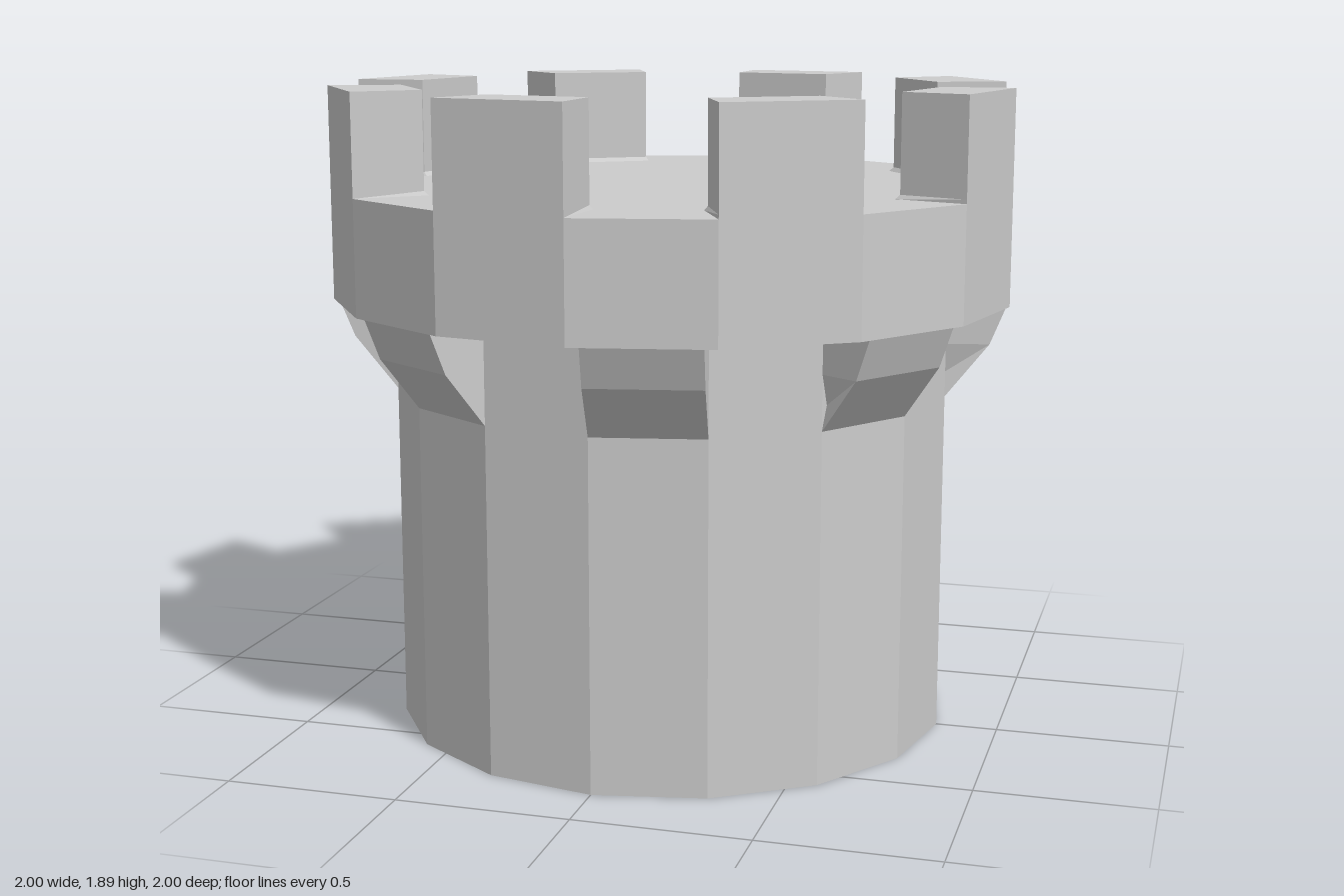
import * as THREE from 'three';

const SIDES = 16;
const STEP = (Math.PI * 2) / SIDES;

// Block lofted through rectangular sections, bottom to top:
// [y, outer distance, outer half width, inner distance, inner half width], facing +z
function loft(sections) {
  const pos = [];
  const loops = sections.map(([y, ro, ho, ri, hi]) => [[ho, y, ro], [hi, y, ri], [-hi, y, ri], [-ho, y, ro]]);
  const quad = (a, b, c, d) => pos.push(...a, ...b, ...c, ...a, ...c, ...d);
  for (let s = 0; s < loops.length - 1; s++) {
    const lo = loops[s], up = loops[s + 1];
    for (let i = 0; i < 4; i++) {
      const j = (i + 1) % 4;
      quad(lo[i], lo[j], up[j], up[i]);
    }
  }
  const first = loops[0], last = loops[loops.length - 1];
  quad(first[3], first[2], first[1], first[0]);
  quad(last[0], last[1], last[2], last[3]);
  const geo = new THREE.BufferGeometry();
  geo.setAttribute('position', new THREE.Float32BufferAttribute(pos, 3));
  geo.computeVertexNormals();
  return geo;
}

export function createModel() {
  const model = new THREE.Group();
  model.name = 'castleTower';
  const stone = new THREE.MeshStandardMaterial({ color: 0xcccccc, flatShading: true });

  const add = (name, geo, y = 0, turn = 0) => {
    const mesh = new THREE.Mesh(geo, stone);
    mesh.name = name;
    mesh.position.y = y;
    mesh.rotation.y = turn;
    model.add(mesh);
  };
  const drum = (radius, y0, y1) => new THREE.CylinderGeometry(radius, radius, y1 - y0, SIDES);

  // Shaft and the wider platform on top of it
  add('shaft', drum(0.82, 0, 1.27), 0.635);
  add('platform', drum(1, 1.27, 1.6), 1.435);

  // Merlon: full facet wide, with a small flare where it meets the deck
  const apothem = Math.cos(STEP / 2), half = Math.sin(STEP / 2);
  const ri = 0.79 * apothem, hi = 0.79 * half, e = 0.012;
  const merlon = loft([
    [1.6, apothem, half, ri - e, hi + e / 2],
    [1.6 + e, apothem, half, ri, hi],
    [1.89, apothem, half, ri, hi],
  ]);

  // Corbel: pushed straight out from a shaft facet, steeper near the top
  const face = 0.82 * apothem, w = 0.82 * half;
  const corbel = loft([
    [1.0, face, w, 0.7, w * 0.8],
    [1.155, face + 0.125, w, face - 0.05, w],
    [1.27, face + 0.172, w, face - 0.05, w],
  ]);

  // Merlons and corbels take alternate facets
  for (let k = 0; k < SIDES / 2; k++) {
    add('merlon', merlon, 0, STEP * (2 * k + 1.5));
    add('corbel', corbel, 0, STEP * (2 * k + 0.5));
  }
  return model;
}
